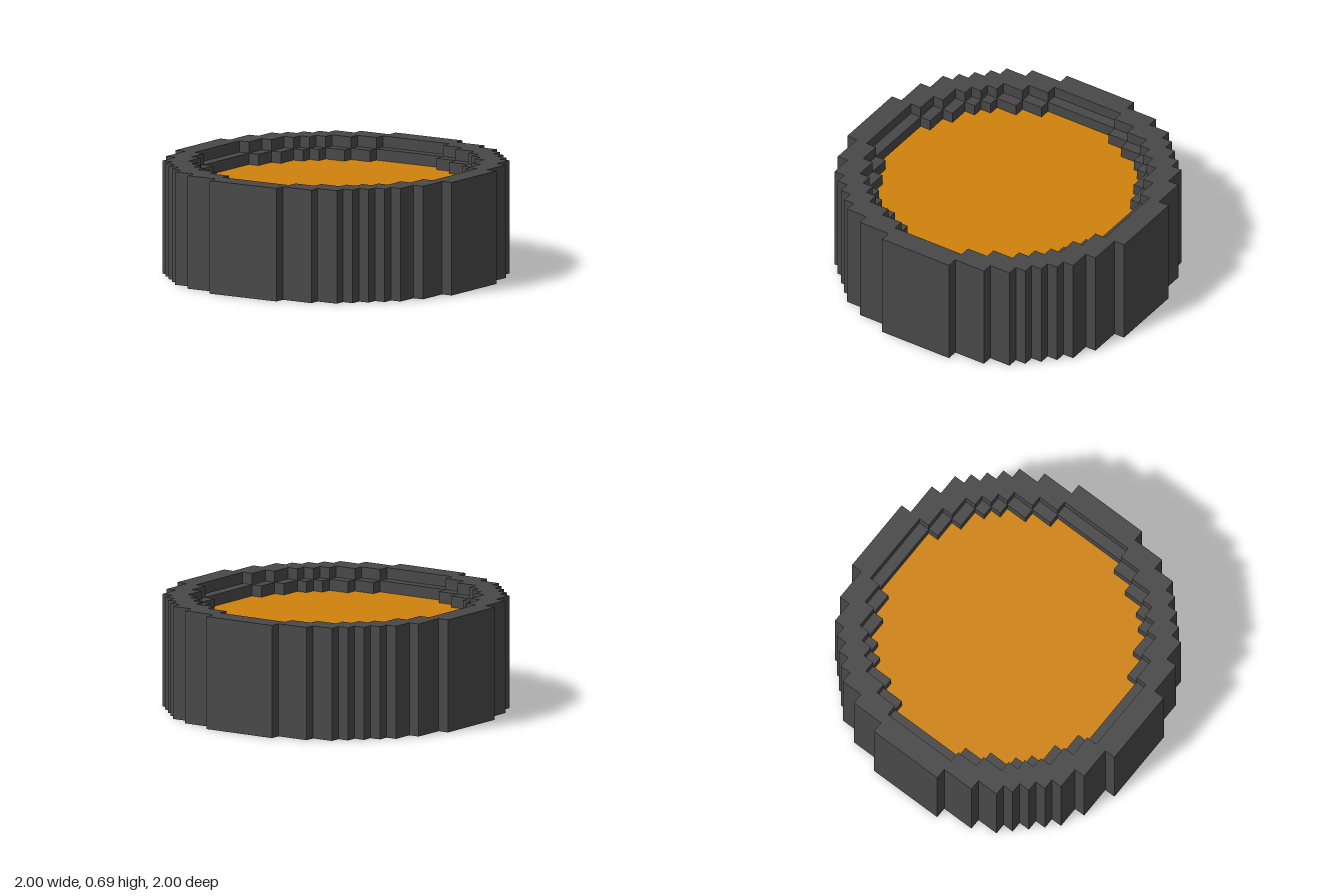
import * as THREE from 'three';

const V = 2 / 29; // one voxel

// Corner steps of one quadrant, in voxels; the outline repeats every quarter turn.
const OUTER = [[14.5, 3.5], [13.5, 6.5], [12.5, 8.5], [11.5, 9.5], [10.5, 10.5], [9.5, 11.5], [8.5, 12.5], [6.5, 13.5], [3.5, 14.5]];
const LEDGE = [[12.5, 3.5], [11.5, 5.5], [10.5, 7.5], [9.5, 8.5], [8.5, 9.5], [7.5, 10.5], [5.5, 11.5], [3.5, 12.5]];
const INNER = [[11.5, 3.5], [10.5, 5.5], [9.5, 7.5], [8.5, 8.5], [7.5, 9.5], [5.5, 10.5], [3.5, 11.5]];

// Closed stair-stepped outline, counter-clockwise
function outline(steps) {
  const quarter = [];
  steps.forEach(([x, y], i) => {
    quarter.push([x, y]);
    if (i < steps.length - 1) quarter.push([steps[i + 1][0], y]);
  });
  const points = [];
  for (let q = 0; q < 4; q++) {
    for (const [x, y] of quarter) {
      const [px, py] = [[x, y], [-y, x], [-x, -y], [y, -x]][q];
      points.push(new THREE.Vector2(px * V, py * V));
    }
  }
  return points;
}

// Flat horizontal face, optionally with a hole
function cap(points, height, hole, down = false) {
  const shape = new THREE.Shape(points);
  if (hole) shape.holes.push(new THREE.Path(hole));
  const geometry = new THREE.ShapeGeometry(shape);
  geometry.rotateX(down ? Math.PI / 2 : -Math.PI / 2);
  geometry.translate(0, height * V, 0);
  return geometry;
}

// Vertical wall along an outline, facing outward or inward
function wall(points, low, high, inward = false) {
  const positions = [];
  points.forEach((p, i) => {
    const next = points[(i + 1) % points.length];
    const [a, b] = inward ? [next, p] : [p, next];
    const a0 = [a.x, low * V, -a.y], a1 = [a.x, high * V, -a.y];
    const b0 = [b.x, low * V, -b.y], b1 = [b.x, high * V, -b.y];
    positions.push(...a0, ...b0, ...b1, ...a0, ...b1, ...a1);
  });
  const geometry = new THREE.BufferGeometry();
  geometry.setAttribute('position', new THREE.Float32BufferAttribute(positions, 3));
  geometry.computeVertexNormals();
  return geometry;
}

export function createModel() {
  const group = new THREE.Group();
  group.name = 'roundVoxelTub';

  const darkGrey = new THREE.MeshStandardMaterial({ color: 0x484848 });
  darkGrey.name = 'darkGrey';
  const amber = new THREE.MeshStandardMaterial({ color: 0xd0820d });
  amber.name = 'amber';

  const add = (name, geometry, material) => {
    const mesh = new THREE.Mesh(geometry, material);
    mesh.name = name;
    group.add(mesh);
  };

  const outer = outline(OUTER), ledge = outline(LEDGE), inner = outline(INNER);

  // Tub body
  add('underside', cap(outer, 0, null, true), darkGrey);
  add('outerWall', wall(outer, 0, 10), darkGrey);

  // Rim stepping down to the ledge and then to the filling
  add('rimTop', cap(outer, 10, ledge), darkGrey);
  add('rimInnerWall', wall(ledge, 9, 10, true), darkGrey);
  add('ledgeTop', cap(ledge, 9, inner), darkGrey);
  add('ledgeInnerWall', wall(inner, 8, 9, true), darkGrey);

  // Filling surface
  add('filling', cap(inner, 8), amber);

  return group;
}
